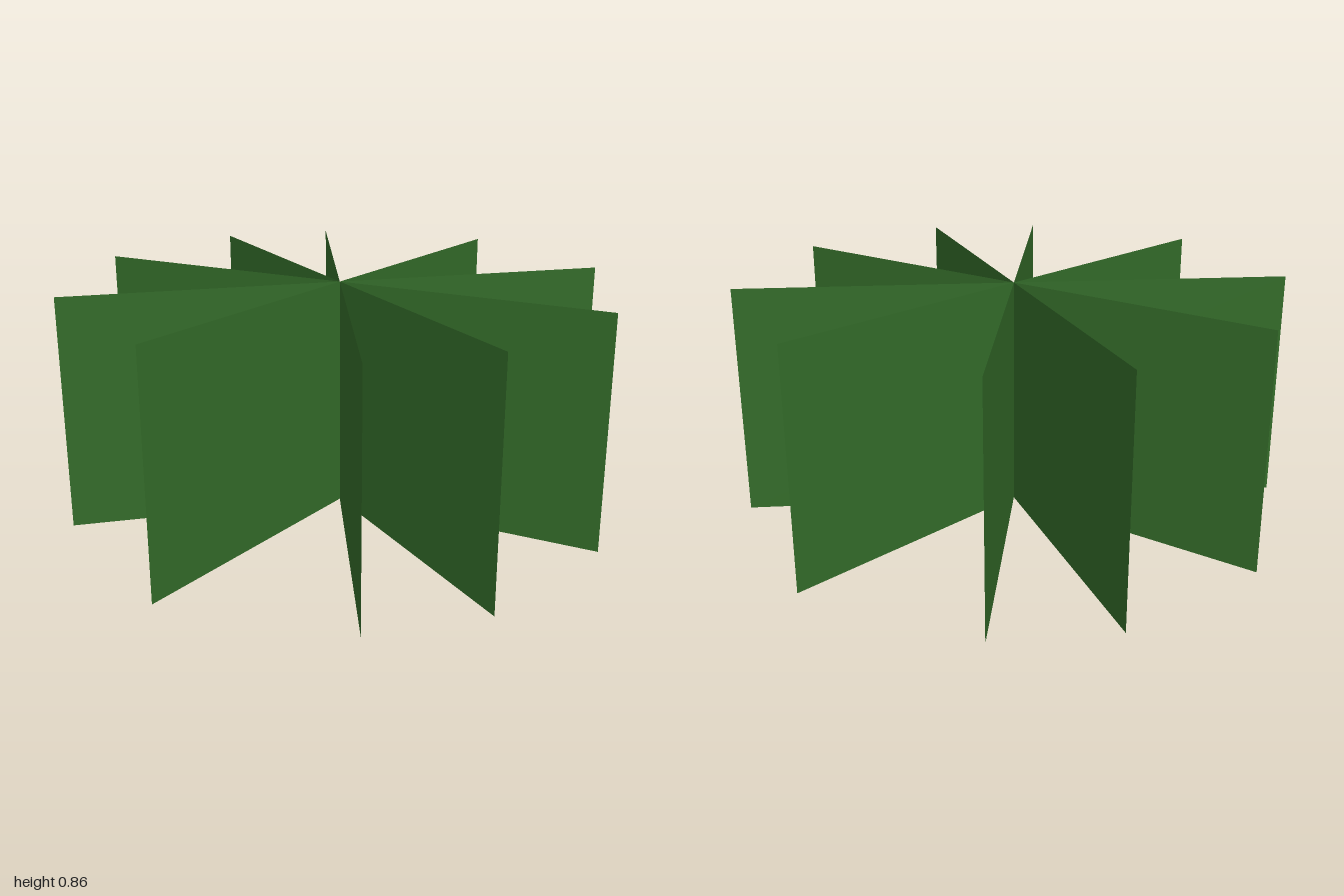
import * as THREE from 'three';

export function createModel() {
  const group = new THREE.Group();
  group.name = 'crossedFoliageCards';

  const leafGreen = new THREE.MeshStandardMaterial({ color: 0x336b29, side: THREE.DoubleSide });
  leafGreen.name = 'leafGreen';

  // Flat upright cards, all crossing on the vertical axis
  const width = 2;
  const height = 0.855;
  const card = new THREE.PlaneGeometry(width, height);
  card.translate(0, height / 2, 0);

  // Uneven turns, in degrees from +x towards +z
  [0, 35, 60, 100, 140].forEach((angle, i) => {
    const mesh = new THREE.Mesh(card, leafGreen);
    mesh.name = `foliageCard${i + 1}`;
    mesh.rotation.y = -THREE.MathUtils.degToRad(angle);
    group.add(mesh);
  });

  return group;
}
